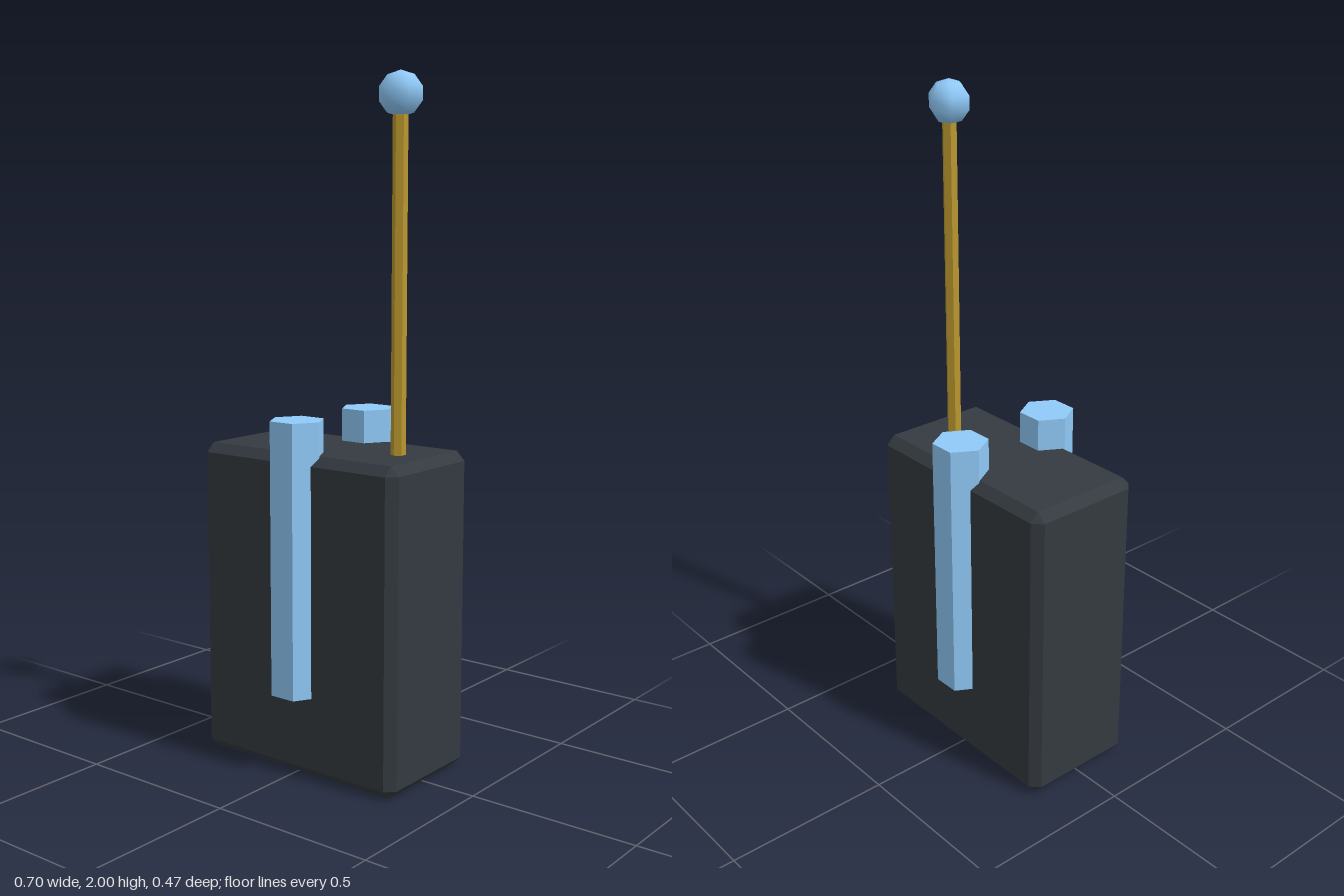
import * as THREE from 'three';
import { ConvexGeometry } from 'three/addons/geometries/ConvexGeometry.js';

const material = (color, flatShading = true) => {
  const m = new THREE.MeshStandardMaterial({ flatShading });
  m.color.set(color);
  return m;
};

// Box with every edge cut at 45 degrees and triangular corners
function chamferedBox(w, h, d, c) {
  const points = [];
  for (const x of [-w / 2, w / 2]) for (const y of [-h / 2, h / 2]) for (const z of [-d / 2, d / 2]) {
    const inX = x - Math.sign(x) * c, inY = y - Math.sign(y) * c, inZ = z - Math.sign(z) * c;
    points.push(
      new THREE.Vector3(x, inY, inZ),
      new THREE.Vector3(inX, y, inZ),
      new THREE.Vector3(inX, inY, z));
  }
  return new ConvexGeometry(points);
}

export function createModel() {
  const group = new THREE.Group();
  const dark = material(0x343a40);
  const blue = material(0x90caf9);
  const blueSmooth = material(0x90caf9, false);
  const gold = material(0xb8962e);

  const add = (name, geometry, mat, x, y, z) => {
    const mesh = new THREE.Mesh(geometry, mat);
    mesh.name = name;
    mesh.position.set(x, y, z);
    group.add(mesh);
    return mesh;
  };

  // Main case
  add('body', chamferedBox(0.704, 0.943, 0.374, 0.027), dark, 0, 0.4715, 0);

  // Hexagonal rods set into the front and back faces
  const rod = new THREE.CylinderGeometry(0.081, 0.081, 0.8, 6).rotateY(Math.PI / 6);
  add('frontRod', rod, blue, 0, 0.64, 0.165);
  add('backRod', rod, blue, 0, 0.64, -0.165);

  // Antenna with its ball tip
  add('antenna', new THREE.CylinderGeometry(0.0215, 0.0215, 1.04, 6), gold, 0.234, 1.41, 0);
  const tip = new THREE.SphereGeometry(0.063, 6, 5).rotateY(Math.PI / 2);
  add('antennaTip', tip, blueSmooth, 0.234, 1.937, 0);

  return group;
}
